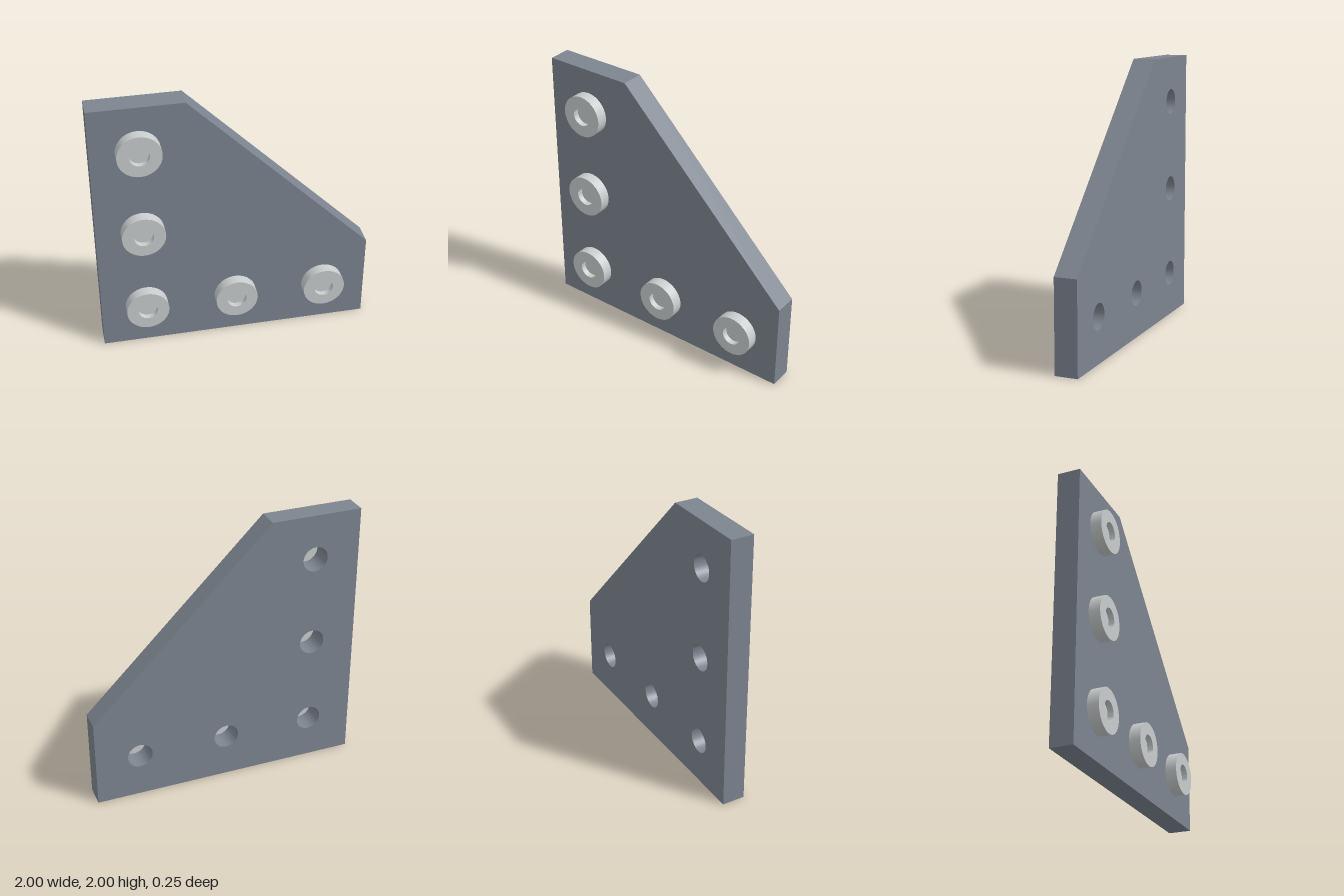
import * as THREE from 'three';
import { toCreasedNormals } from 'three/addons/utils/BufferGeometryUtils.js';

const PLATE_BACK = -0.125, PLATE_FRONT = 0.042, HEAD_FRONT = 0.125;
const HOLE_RADIUS = 0.093, HEAD_RADIUS = 0.156, SOCKET_RADIUS = 0.07, SOCKET_DEPTH = 0.042;

// Bolt positions along the two legs of the bracket
const BOLTS = [[-0.667, 0.333], [-0.667, 1], [-0.667, 1.667], [0, 0.333], [0.667, 0.333]];

export function createModel() {
  const group = new THREE.Group();
  const plateMaterial = new THREE.MeshStandardMaterial({ color: 0x7c848f });
  plateMaterial.name = 'slate grey plate';
  const boltMaterial = new THREE.MeshStandardMaterial({ color: 0xc8cccc });
  boltMaterial.name = 'light grey bolts';

  // Corner plate with a cut diagonal and a hole behind every bolt
  const outline = new THREE.Shape([[-1, 0], [1, 0], [1, 0.667], [-0.333, 2], [-1, 2]]
    .map(([x, y]) => new THREE.Vector2(x, y)));
  for (const [x, y] of BOLTS) {
    outline.holes.push(new THREE.Path().absarc(x, y, HOLE_RADIUS, 0, Math.PI * 2, true));
  }
  const plateGeometry = new THREE.ExtrudeGeometry(outline, {
    depth: PLATE_FRONT - PLATE_BACK, bevelEnabled: false, curveSegments: 48,
  }).translate(0, 0, PLATE_BACK);
  const plate = new THREE.Mesh(toCreasedNormals(plateGeometry, 0.5), plateMaterial);
  plate.name = 'cornerPlate';
  group.add(plate);

  // Round bolt head with a shallow blind socket
  const h = HEAD_FRONT - PLATE_FRONT;
  const profile = [
    [0, 0], [HEAD_RADIUS, 0], [HEAD_RADIUS, h],
    [SOCKET_RADIUS, h], [SOCKET_RADIUS, h - SOCKET_DEPTH], [0, h - SOCKET_DEPTH],
  ].map(([r, y]) => new THREE.Vector2(r, y));
  const headGeometry = toCreasedNormals(
    new THREE.LatheGeometry(profile, 48).rotateX(Math.PI / 2), 0.5);

  BOLTS.forEach(([x, y], i) => {
    const head = new THREE.Mesh(headGeometry, boltMaterial);
    head.name = `boltHead${i + 1}`;
    head.position.set(x, y, PLATE_FRONT);
    group.add(head);
  });

  return group;
}
